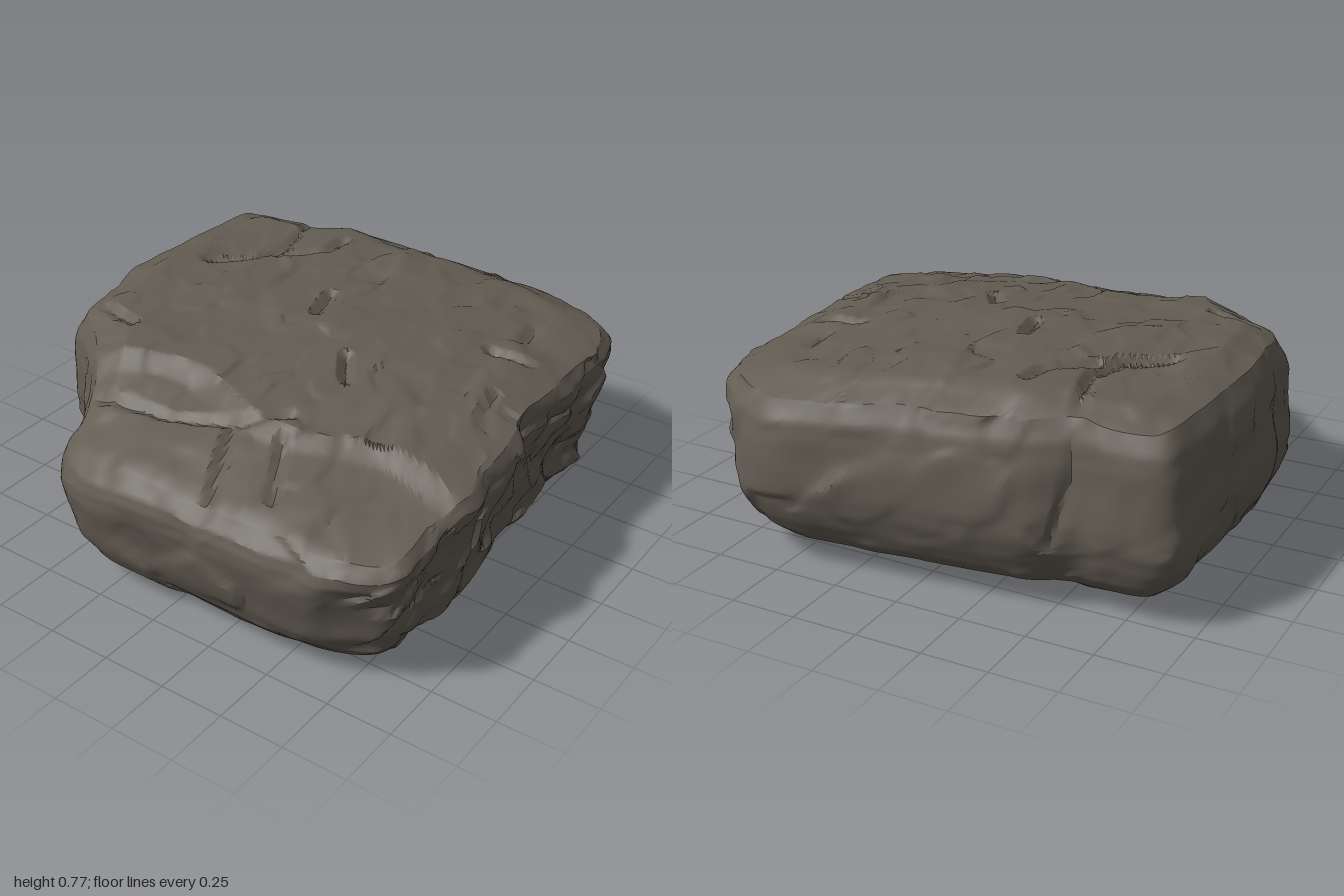
import * as THREE from 'three';
import { toCreasedNormals } from 'three/addons/utils/BufferGeometryUtils.js';

const { lerp, clamp, smoothstep } = THREE.MathUtils;

// Plan outline of the slab (x, z), running back -> +x -> front -> -x
const OUTLINE = [
  [-0.37, -0.92], [-0.15, -0.95], [0, -0.98], [0.3, -0.98], [0.55, -0.965], [0.79, -0.925],
  [0.83, -0.72], [0.82, -0.6], [0.9, -0.42], [0.95, 0.05], [0.985, 0.3], [1, 0.58],
  [0.93, 0.72], [0.72, 0.88], [0.4, 0.895], [0, 0.91], [-0.35, 0.965], [-0.5, 0.98],
  [-0.62, 0.94], [-0.87, 0.94], [-0.955, 0.8], [-1, 0.55], [-1, 0.1], [-0.99, -0.33],
  [-0.9, -0.48], [-0.6, -0.645], [-0.48, -0.76],
];

// Wall profiles as (plan scale, fraction of height): rounded sides, broken front, undercut -x side
const SIDE = [[0.8, 0], [0.88, 0.055], [0.93, 0.12], [0.967, 0.22], [0.992, 0.33], [1, 0.44], [0.985, 0.73], [0.965, 0.85], [0.92, 0.95], [0.8, 1]];
const FRONT = [[0.8, 0], [0.87, 0.055], [0.91, 0.13], [0.92, 0.25], [0.94, 0.45], [0.98, 0.7], [1, 0.82], [0.997, 0.9], [0.96, 0.965], [0.8, 1]];
const LEFT = [[0.8, 0], [0.87, 0.06], [0.92, 0.16], [0.948, 0.28], [0.985, 0.6], [1, 0.76], [1, 0.87], [0.985, 0.94], [0.93, 0.99], [0.8, 1]];

// Top height across x, and its fall from back to front
const TOP_X = [[-1, 0.52], [-0.9, 0.575], [-0.58, 0.665], [-0.5, 0.72], [0, 0.76], [0.75, 0.745], [1, 0.69]];
const TOP_Z = [[-1, -0.015], [-0.4, 0], [0, -0.012], [0.5, -0.04], [1, -0.1]];

// Linear lookup in a table of (position, value)
function lookup(table, x) {
  let i = 0;
  while (i < table.length - 2 && x > table[i + 1][0]) i++;
  const [a, b] = [table[i], table[i + 1]];
  return lerp(a[1], b[1], clamp((x - a[0]) / (b[0] - a[0]), 0, 1));
}

// Column c of a wall profile at k = 0 (foot) to 1 (top)
function profileAt(table, k, c) {
  const u = k * (table.length - 1), a = Math.min(Math.floor(u), table.length - 2);
  return lerp(table[a][c], table[a + 1][c], u - a);
}

function topHeight(x, z) {
  const wobble = 0.06 * Math.sin(z * 7);
  const backCorner = smoothstep(-x, 0.5, 0.85) * smoothstep(-z, 0.1, 0.45);
  return lookup(TOP_X, x + wobble * smoothstep(x, -0.9, -0.6) * (1 - smoothstep(x, -0.5, -0.2)))
    + lookup(TOP_Z, z) * lerp(0.3, 1, smoothstep(x, -1, -0.4)) - 0.05 * backCorner;
}

// Shallow keel underneath, lowest a little left of the middle
const baseHeight = (x, z) => 0.04 * Math.hypot(x + 0.35, z + 0.15);

// Cracks that follow the top, in plan (x, z)
const TOP_CRACKS = [
  [[0.2, -0.68], [0.32, -0.52], [0.45, -0.48], [0.65, -0.53], [0.82, -0.59]],
  [[0.38, -0.46], [0.52, -0.32], [0.62, -0.31]],
  [[-0.32, -0.76], [-0.36, -0.6]],
  [[-0.7, -0.48], [-0.66, -0.15], [-0.6, 0.1], [-0.5, 0.24]],
  [[-0.9, 0.2], [-0.62, 0.08]],
  [[-0.82, 0.4], [-0.6, 0.28]],
  [[-0.22, 0.28], [-0.1, 0.2]],
  [[0.08, -0.06], [0.22, -0.09]],
  [[0.28, 0.58], [0.29, 0.73]],
  [[-0.15, 0.8], [0.02, 0.75]],
];
// Cracks that run over the walls (x, y, z)
const WALL_CRACKS = [
  [[0.8, 0.7, -0.58], [0.83, 0.5, -0.58], [0.87, 0.25, -0.52]],
  [[-0.04, 0.67, 0.74], [-0.02, 0.62, 0.9], [0.03, 0.32, 0.87]],
  [[-0.95, 0.36, 0.85], [-0.6, 0.33, 0.9]],
  [[-0.1, 0.55, 0.88], [0.35, 0.55, 0.87]],
  [[0.5, 0.27, 0.84], [0.85, 0.3, 0.76]],
];
const crackLines = (cracks, toPoint) => cracks.flatMap((pts) =>
  pts.slice(1).map((p, i) => new THREE.Line3(toPoint(...pts[i]), toPoint(...p))));
const CRACK_LINES = [
  ...crackLines(TOP_CRACKS, (x, z) => new THREE.Vector3(x, topHeight(x, z), z)),
  ...crackLines(WALL_CRACKS, (x, y, z) => new THREE.Vector3(x, y, z)),
];

const nearest = new THREE.Vector3();
function crackDepth(p) {
  const gap = Math.min(...CRACK_LINES.map((line) => line.closestPointToPoint(p, true, nearest).distanceTo(p)));
  return 0.028 * Math.max(0, 1 - gap / 0.035);
}

function hash(x, y, z, n) {
  const s = Math.sin(x * 127.1 + y * 311.7 + z * 74.7 + n * 53.3) * 43758.5453;
  return s - Math.floor(s);
}

// Chiselled noise: tilted planes in irregular cells, joined by short steps (about -0.5 to 0.5)
function chisel(x, y, z) {
  const [cx, cy, cz] = [Math.floor(x), Math.floor(y), Math.floor(z)];
  let sum = 0, total = 1e-9;
  for (let i = cx - 1; i <= cx + 1; i++) for (let j = cy - 1; j <= cy + 1; j++) for (let k = cz - 1; k <= cz + 1; k++) {
    const h = (n) => hash(i, j, k, n);
    const [dx, dy, dz] = [x - i - h(1), y - j - h(2), z - k - h(3)];
    const w = Math.exp(-16 * (dx * dx + dy * dy + dz * dz));
    sum += w * ((h(4) - 0.5) * 0.6 + (h(5) - 0.5) * dx + (h(6) - 0.5) * dy + (h(7) - 0.5) * dz);
    total += w;
  }
  return sum / total;
}

function slabGeometry() {
  const N = 300, BASE = 8, WALL = 44, TOP = 52;
  const outline = new THREE.CatmullRomCurve3(OUTLINE.map(([x, z]) => new THREE.Vector3(x, 0, z)), true, 'centripetal').getSpacedPoints(N);
  const rows = BASE + WALL + TOP;
  const positions = [], index = [];
  const p = new THREE.Vector3();

  for (let j = 0; j <= rows; j++) {
    const k = clamp((j - BASE) / WALL, 0, 1);
    for (let i = 0; i < N; i++) {
      const o = outline[i];
      const front = smoothstep(o.z, 0.65, 0.88);
      const left = smoothstep(-o.x, 0.75, 0.95);
      // Plan scale and height fraction for this row
      const at = (c) => lerp(lerp(profileAt(SIDE, k, c), profileAt(LEFT, k, c), left), profileAt(FRONT, k, c), front);
      let s = at(0);
      const f = at(1);
      if (j < BASE) s *= j / BASE;
      if (j > BASE + WALL) s *= 1 - (j - BASE - WALL) / TOP;

      p.set(o.x * s, 0, o.z * s);
      p.y = lerp(baseHeight(p.x, p.z), topHeight(p.x, p.z), f);
      const crack = crackDepth(p);
      const radius = Math.hypot(p.x, p.z) || 1;
      // Chip the walls inward, strongest on the broken front
      const wall = Math.sqrt(Math.max(0, Math.sin(Math.PI * k)));
      const coarse = chisel(p.x * 3.2 + 5, p.y * 4 + 2, p.z * 3.2 + 9);
      const fine = chisel(p.x * 6 + 31, p.y * 9 + 17, p.z * 6 + 3);
      const inward = wall * (lerp(0.04, 0.06, front) * (coarse + 0.1) + lerp(0.012, 0.045, front) * fine + crack * (1 - f ** 6));
      const scale = 1 - inward / radius;
      // Layered ledges on top, gentle hollows underneath
      const ledge = chisel(p.x * 2.6 + 13, 4.5, p.z * 3.4 + 7);
      const chips = chisel(p.x * 6 + 3, 8.5, p.z * 9 + 1);
      const lift = f ** 4 * (0.03 * ledge + 0.016 * chips - crack) + (1 - f) ** 6 * 0.012 * ledge;
      positions.push(p.x * scale, p.y + lift, p.z * scale);
    }
  }
  for (let j = 0; j < rows; j++) for (let i = 0; i < N; i++) {
    const n = (i + 1) % N;
    const [a, b, c, d] = [j * N + i, j * N + n, (j + 1) * N + i, (j + 1) * N + n];
    if (j > 0) index.push(a, c, b);
    if (j < rows - 1) index.push(b, c, d);
  }

  const geometry = new THREE.BufferGeometry();
  geometry.setAttribute('position', new THREE.Float32BufferAttribute(positions, 3));
  geometry.setIndex(index);
  geometry.computeBoundingBox();
  geometry.translate(0, -geometry.boundingBox.min.y, 0);
  return toCreasedNormals(geometry, 0.45);
}

export function createModel() {
  const stone = new THREE.MeshStandardMaterial({ color: 0x625c52 });
  stone.name = 'darkStone';
  const slab = new THREE.Mesh(slabGeometry(), stone);
  slab.name = 'rockSlab';
  const model = new THREE.Group();
  model.name = 'rock';
  model.add(slab);
  return model;
}
